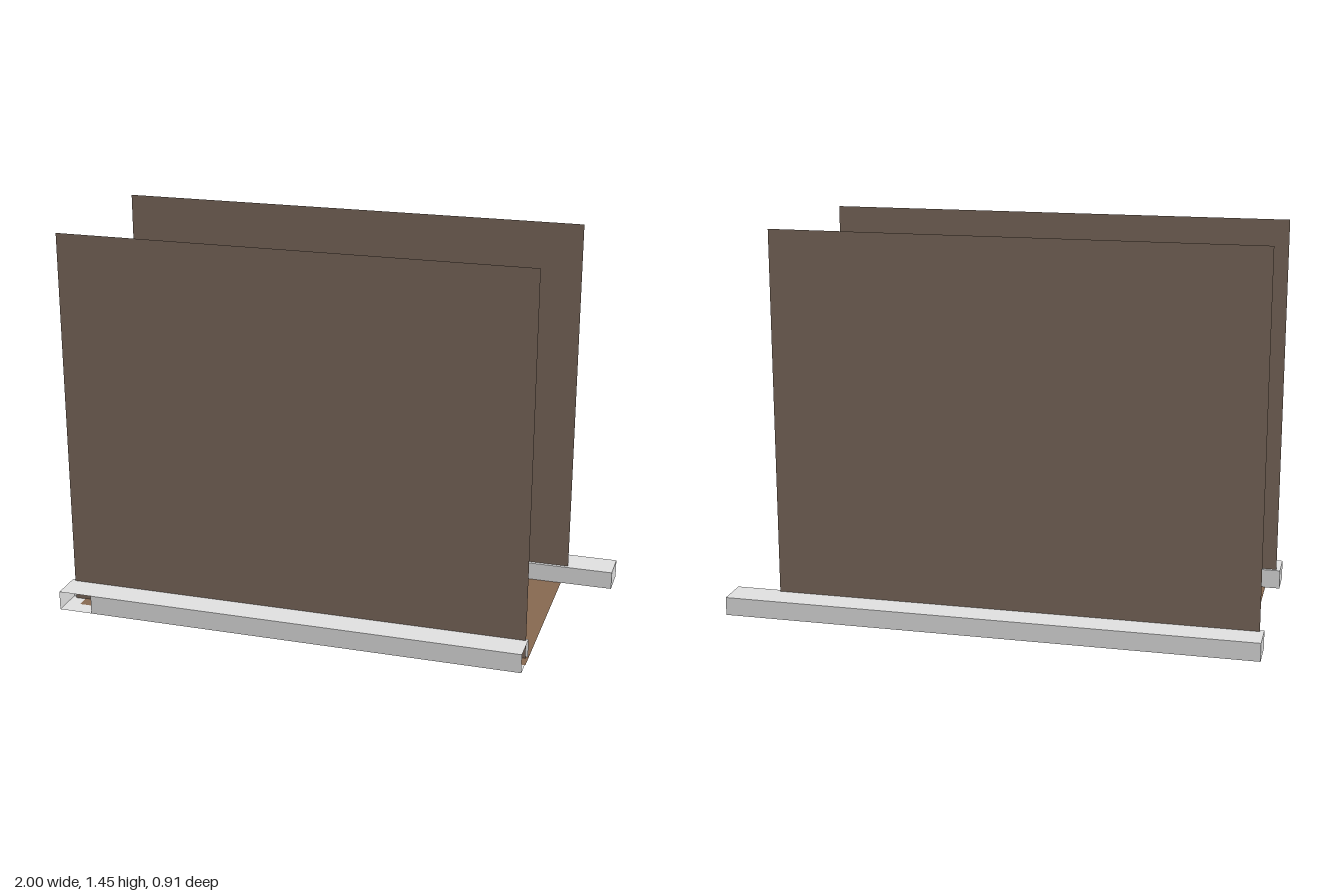
import * as THREE from 'three';

const railGrey = new THREE.MeshStandardMaterial({ color: 0xe4e4e4, side: THREE.DoubleSide });
railGrey.name = 'railGrey';
const panelBrown = new THREE.MeshStandardMaterial({ color: 0x7d6a5d, side: THREE.DoubleSide });
panelBrown.name = 'panelBrown';
const floorBrown = new THREE.MeshStandardMaterial({ color: 0x896a51, side: THREE.DoubleSide });
floorBrown.name = 'floorBrown';

// Flat sheet centred on (x, y, z); rx and ry turn it from facing +z
function sheet(name, w, h, [x, y, z], material, rx = 0, ry = 0) {
  const mesh = new THREE.Mesh(new THREE.PlaneGeometry(w, h), material);
  mesh.name = name;
  mesh.position.set(x, y, z);
  mesh.rotation.set(rx, ry, 0);
  return mesh;
}

export function createModel() {
  const model = new THREE.Group();
  model.name = 'panelledTrack';
  const inner = 0.33, outer = 0.455, railTop = 0.073;
  const depth = outer - inner, mid = (inner + outer) / 2;

  // Tall upright panels, slotted through the rails
  const panelHeight = 1.453;
  for (const [name, x0, x1, z] of [['frontPanel', -0.985, 0.79, 0.343], ['backPanel', -0.985, 0.825, -0.343]]) {
    model.add(sheet(name, x1 - x0, panelHeight, [(x0 + x1) / 2, panelHeight / 2, z], panelBrown));
  }

  // Floor sheet between the panels
  model.add(sheet('floor', 1.745, 0.79, [-0.0725, 0.002, 0], floorBrown, -Math.PI / 2));

  // Closed back rail
  const backRail = new THREE.Mesh(new THREE.BoxGeometry(2, railTop - 0.004, depth), railGrey);
  backRail.name = 'backRail';
  backRail.position.set(0, (railTop + 0.004) / 2, -mid);
  model.add(backRail);

  // Hollow front rail: open at its left end, outer wall cut short at its right end
  const frontRail = new THREE.Group();
  frontRail.name = 'frontRail';
  const x0 = -1, x1 = 0.797, cut = -0.87;
  const cx = (x0 + x1) / 2, len = x1 - x0;
  frontRail.add(
    sheet('railTop', len, depth, [cx, railTop, mid], railGrey, -Math.PI / 2),
    sheet('railBottom', len, depth, [cx, 0, mid], railGrey, Math.PI / 2),
    sheet('railInnerWall', len, railTop, [cx, railTop / 2, inner], railGrey, 0, Math.PI),
    sheet('railOuterWall', x1 - cut, railTop, [(cut + x1) / 2, railTop / 2, outer], railGrey),
    sheet('railEndCap', depth, railTop, [x0, railTop / 2, mid], railGrey, 0, -Math.PI / 2)
  );
  model.add(frontRail);

  return model;
}
